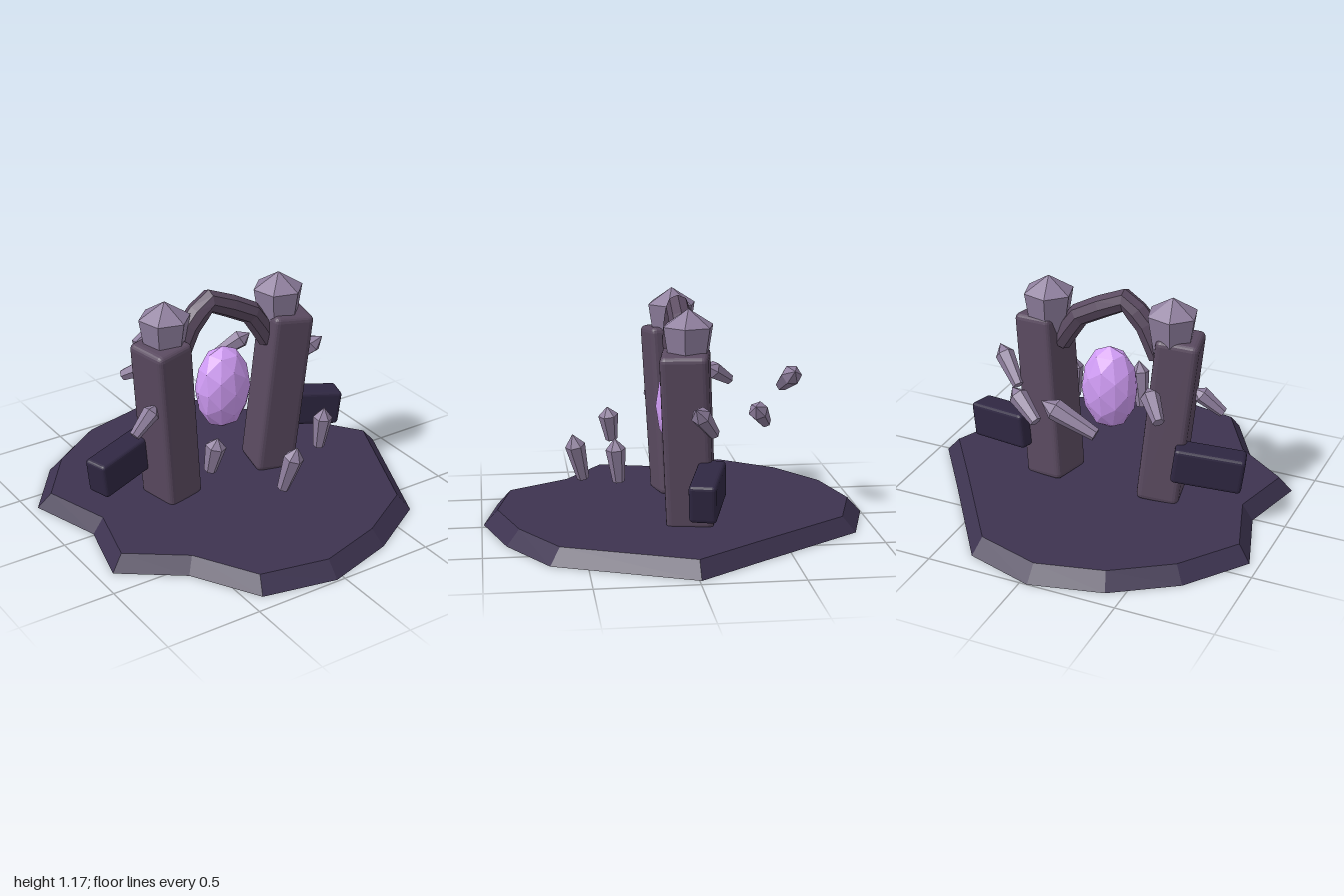
import * as THREE from 'three';
import { RoundedBoxGeometry } from 'three/addons/geometries/RoundedBoxGeometry.js';

const CX = -0.037; // mirror line of the gateway
const CZ = -0.03;

const mat = (color, side = THREE.FrontSide) =>
  new THREE.MeshStandardMaterial({ color, flatShading: true, side });

const stone = mat(0x5a4a60);
const darkStone = mat(0x2f2742);
const crystalMat = mat(0x8f7f9e);

function add(parent, name, geometry, material) {
  const mesh = new THREE.Mesh(geometry, material);
  mesh.name = name;
  parent.add(mesh);
  return mesh;
}

// Six-sided crystal: narrow foot, wide shoulder, pointed tip
function crystalGeometry(foot, shoulder, shoulderY, tipY) {
  return new THREE.LatheGeometry([
    new THREE.Vector2(0, 0),
    new THREE.Vector2(foot, 0),
    new THREE.Vector2(shoulder, shoulderY),
    new THREE.Vector2(0, tipY),
  ], 6);
}

// Irregular island slab: sloped rim and flat top, open underneath
function slabGeometry() {
  const outline = [
    [-0.04, -1], [0.32, -0.89], [0.71, -0.34], [0.95, -0.01], [0.66, 0.68],
    [0.33, 0.88], [-0.04, 0.99], [-0.42, 0.91], [-0.62, 0.57], [-0.92, 0.35],
    [-0.83, -0.01], [-0.95, -0.39], [-0.72, -0.7], [-0.41, -0.91],
  ];
  const height = 0.08, inset = 0.927;
  const low = ([x, z]) => [x, 0, z];
  const high = ([x, z]) => [-0.04 + (x + 0.04) * inset, height, z * inset];
  const pos = [];
  outline.forEach((a, i) => {
    const b = outline[(i + 1) % outline.length];
    pos.push(...low(a), ...high(a), ...high(b));
    pos.push(...low(a), ...high(b), ...low(b));
    pos.push(-0.04, height, 0, ...high(b), ...high(a));
  });
  const g = new THREE.BufferGeometry();
  g.setAttribute('position', new THREE.Float32BufferAttribute(pos, 3));
  g.computeVertexNormals();
  return g;
}

export function createModel() {
  const model = new THREE.Group();
  model.name = 'crystalGateway';

  add(model, 'groundSlab', slabGeometry(), mat(0x3d3350, THREE.DoubleSide));

  // Leaning pillars, their crystal caps and the side blocks, mirrored in x
  for (const [label, s] of [['left', 1], ['right', -1]]) {
    const pillar = add(model, label + 'Pillar',
      new RoundedBoxGeometry(0.22, 0.9, 0.24, 2, 0.03), stone);
    pillar.position.set(CX + s * 0.338, 0.515, CZ);
    pillar.rotation.set(0.05, -s * 0.2, -s * 0.087, 'XZY');

    const cap = add(model, label + 'PillarCrystal',
      crystalGeometry(0.085, 0.132, 0.285, 0.37), crystalMat);
    cap.position.set(CX + s * 0.338, 0.8, CZ);
    cap.rotation.y = 0.26;

    const block = add(model, label + 'SideBlock',
      new RoundedBoxGeometry(0.36, 0.19, 0.135, 2, 0.02), darkStone);
    block.position.set(CX + s * 0.575, 0.31, -0.095);
    block.rotation.set(0, -s * 0.29, -s * 0.12, 'YXZ');
  }

  // Crooked arch joining the pillars
  const path = new THREE.CurvePath();
  const bends = [[-0.31, 0.84], [-0.235, 1.0], [-0.12, 1.11], [0.13, 0.985], [0.24, 0.82]]
    .map(([x, y]) => new THREE.Vector3(x, y, CZ));
  const rings = new THREE.CatmullRomCurve3(bends, false, 'catmullrom', 0.15);
  // Equal steps in curve parameter place a ring at each bend
  path.getPointAt = (t, v) => rings.getPoint(t, v);
  path.getTangentAt = (t, v) => rings.getTangent(t, v);
  path.computeFrenetFrames = rings.computeFrenetFrames.bind(
    Object.assign(Object.create(rings), { getTangentAt: path.getTangentAt }));
  add(model, 'arch', new THREE.TubeGeometry(path, 8, 0.06, 8), mat(0x5a4a60, THREE.DoubleSide));

  // Glowing egg-shaped core
  const core = add(model, 'core', new THREE.IcosahedronGeometry(1, 1), mat(0xd09cf5));
  core.scale.set(0.15, 0.232, 0.125);
  core.position.set(CX, 0.608, CZ);

  // Floating shards: foot point, tip point, shoulder radius
  const shards = [
    [[-0.62, 0.54, 0.07], [-0.47, 0.66, 0.04], 0.045],
    [[-0.325, 0.365, 0.3], [-0.295, 0.55, 0.325], 0.053],
    [[0.325, 0.315, 0.32], [0.34, 0.54, 0.34], 0.05],
    [[-0.005, 0.245, 0.475], [0.04, 0.49, 0.53], 0.052],
    [[0.43, 0.57, -0.14], [0.59, 0.73, -0.03], 0.05],
    [[-0.44, 0.65, -0.35], [-0.32, 0.75, -0.21], 0.05],
    [[0.18, 0.56, -0.44], [0.35, 0.68, -0.36], 0.05],
    [[-0.22, 0.66, -0.6], [0.06, 0.79, -0.615], 0.054],
  ];
  const up = new THREE.Vector3(0, 1, 0);
  const shardGroup = new THREE.Group();
  shardGroup.name = 'floatingShards';
  model.add(shardGroup);
  shards.forEach(([foot, tip, r], i) => {
    const a = new THREE.Vector3(...foot);
    const dir = new THREE.Vector3(...tip).sub(a);
    const len = dir.length();
    const shard = add(shardGroup, 'shard' + (i + 1),
      crystalGeometry(r * 0.6, r, len * 0.75, len), crystalMat);
    shard.position.copy(a);
    shard.quaternion.setFromUnitVectors(up, dir.normalize());
  });

  return model;
}
